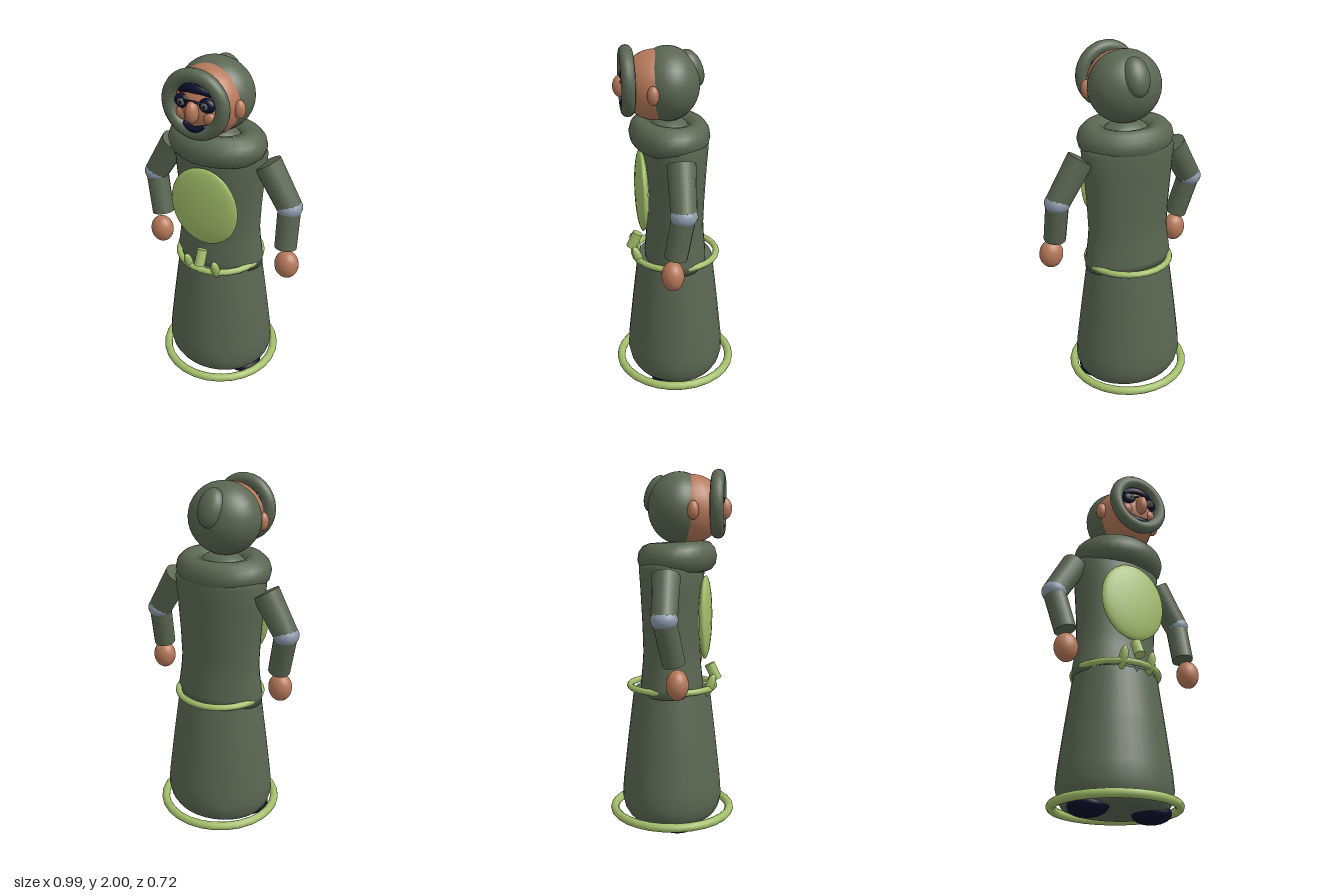
import * as THREE from 'three';

const mat = (name, color) => {
  const m = new THREE.MeshStandardMaterial({ color });
  m.name = name;
  return m;
};

export function createModel() {
  const robeGreen = mat('robeGreen', 0x5a6652);
  const trimGreen = mat('trimGreen', 0xa2bd69);
  const skin = mat('skin', 0xb67859);
  const navy = mat('navy', 0x0c0c2c);
  const steel = mat('steel', 0x8c98aa);

  const model = new THREE.Group();
  model.name = 'robedFigure';
  const body = new THREE.Group();
  body.name = 'body';
  body.position.x = -0.025;
  model.add(body);

  const add = (name, geo, material, pos = [0, 0, 0], parent = body) => {
    const mesh = new THREE.Mesh(geo, material);
    mesh.name = name;
    mesh.position.set(...pos);
    parent.add(mesh);
    return mesh;
  };
  const ball = (name, material, pos, radii, parent = body) => {
    const mesh = add(name, new THREE.SphereGeometry(1, 24, 16), material, pos, parent);
    mesh.scale.set(...radii);
    return mesh;
  };
  const lathe = (name, material, profile, depth) => {
    const points = profile.map(([r, y]) => new THREE.Vector2(r, y));
    const mesh = add(name, new THREE.LatheGeometry(points, 32), material);
    mesh.scale.z = depth;
    return mesh;
  };
  const ring = (name, material, pos, radius, tube, flat = true) => {
    const geo = new THREE.TorusGeometry(radius, tube, 12, 28);
    if (flat) geo.rotateX(Math.PI / 2);
    return add(name, geo, material, pos);
  };
  const limb = (name, a, b, ra, rb) => {
    const from = new THREE.Vector3(...a), to = new THREE.Vector3(...b);
    const dir = to.clone().sub(from);
    const mesh = add(name, new THREE.CylinderGeometry(rb, ra, dir.length(), 14), robeGreen, [0, 0, 0], model);
    mesh.position.copy(from).add(to).multiplyScalar(0.5);
    mesh.quaternion.setFromUnitVectors(new THREE.Vector3(0, 1, 0), dir.normalize());
    return mesh;
  };
  const strip = (name, points, radius) => {
    const path = new THREE.CatmullRomCurve3(points.map(p => new THREE.Vector3(...p)));
    add(name, new THREE.TubeGeometry(path, 16, radius, 8), navy);
    ball(name + 'EndRight', navy, points[0], [radius, radius, radius]);
    ball(name + 'EndLeft', navy, points[points.length - 1], [radius, radius, radius]);
  };

  // Robe
  lathe('skirt', robeGreen, [[0, 0.05], [0.25, 0.05], [0.285, 0.065], [0.308, 0.1], [0.323, 0.16],
    [0.316, 0.25], [0.284, 0.5], [0.246, 0.775], [0.24, 0.787], [0, 0.79]], 0.885);
  lathe('torso', robeGreen, [[0, 0.76], [0.262, 0.77], [0.261, 0.82], [0.246, 0.92], [0.239, 1.0],
    [0.245, 1.15], [0.26, 1.35], [0.272, 1.47], [0.25, 1.52], [0, 1.54]], 0.67);
  const collar = ring('collar', robeGreen, [0, 1.525, 0.03], 0.19, 0.086);
  collar.scale.z = 0.8;
  collar.rotation.x = -0.06;
  ball('neck', robeGreen, [0, 1.54, 0.03], [0.14, 0.08, 0.11]);
  ring('hemRing', trimGreen, [0, 0.075, 0], 0.335, 0.024);
  ring('beltRing', trimGreen, [0, 0.803, 0], 0.24, 0.018);
  ball('chestPanel', trimGreen, [0, 1.193, 0.188], [0.202, 0.234, 0.037]);

  // Belt pendants
  for (const s of [-1, 1]) {
    ball('beltPouch', trimGreen, [s * 0.086, 0.822, 0.225], [0.025, 0.066, 0.025]).rotation.x = 0.35;
    ball('shoe', navy, [s * 0.19, 0.052, 0.052], [0.103, 0.052, 0.115]);
  }
  add('beltFlask', new THREE.CylinderGeometry(0.03, 0.03, 0.095, 14), trimGreen, [0, 0.885, 0.235]).rotation.x = -0.45;
  const tip = add('beltTip', new THREE.ConeGeometry(0.024, 0.05, 12), steel, [0, 0.782, 0.222]);
  tip.rotation.x = Math.PI;

  // Head and hood
  ball('face', skin, [0, 1.79, 0.107], [0.178, 0.186, 0.18]);
  const hoodGeo = new THREE.SphereGeometry(1, 32, 20, 0, Math.PI * 2, 0, Math.PI * 0.66);
  hoodGeo.rotateX(-Math.PI / 2);
  const hood = add('hood', hoodGeo, robeGreen, [0, 1.795, 0.04]);
  hood.scale.set(0.206, 0.196, 0.172);
  robeGreen.side = THREE.DoubleSide;
  ring('hoodTrim', robeGreen, [0, 1.815, 0.255], 0.15, 0.037, false);
  ball('hoodTail', robeGreen, [0, 1.872, -0.09], [0.073, 0.105, 0.057]).rotation.x = 0.4;

  // Face features
  ball('nose', skin, [0, 1.79, 0.29], [0.034, 0.058, 0.04]);
  for (const s of [-1, 1]) {
    ball('ear', skin, [s * 0.18, 1.78, 0.135], [0.031, 0.05, 0.031]);
    ball('cheek', skin, [s * 0.075, 1.76, 0.255], [0.035, 0.035, 0.025]);
    ball('goggle', navy, [s * 0.067, 1.827, 0.262], [0.045, 0.038, 0.026]);
    ball('goggleLens', robeGreen, [s * 0.065, 1.829, 0.28], [0.021, 0.019, 0.012]);
    ball('pupil', navy, [s * 0.065, 1.829, 0.29], [0.009, 0.009, 0.004]);
  }
  strip('goggleBridge', [[-0.05, 1.838, 0.28], [0, 1.845, 0.288], [0.05, 1.838, 0.28]], 0.006);
  strip('brow', [[-0.085, 1.882, 0.235], [-0.04, 1.896, 0.252], [0, 1.899, 0.258],
    [0.04, 1.896, 0.252], [0.085, 1.882, 0.235]], 0.024);
  strip('moustache', [[-0.053, 1.706, 0.262], [-0.025, 1.695, 0.272], [0, 1.693, 0.275],
    [0.025, 1.695, 0.272], [0.053, 1.706, 0.262]], 0.018);

  // Arms: shoulder, elbow, wrist and hand positions
  const arms = {
    left: [[0.257, 1.447, 0.005], [0.398, 1.218, 0.012], [0.405, 0.985, 0.055], [0.423, 0.888, 0.073]],
    right: [[-0.305, 1.443, 0.005], [-0.43, 1.225, 0.012], [-0.375, 0.985, 0.055], [-0.376, 0.876, 0.073]],
  };
  for (const [side, [shoulder, elbow, wrist, hand]] of Object.entries(arms)) {
    limb(side + 'UpperArm', shoulder, elbow, 0.077, 0.069);
    limb(side + 'Forearm', elbow, wrist, 0.064, 0.062);
    ball(side + 'Elbow', steel, elbow, [0.071, 0.06, 0.073], model);
    ball(side + 'Hand', skin, hand, [0.068, 0.082, 0.06], model);
  }
  return model;
}
